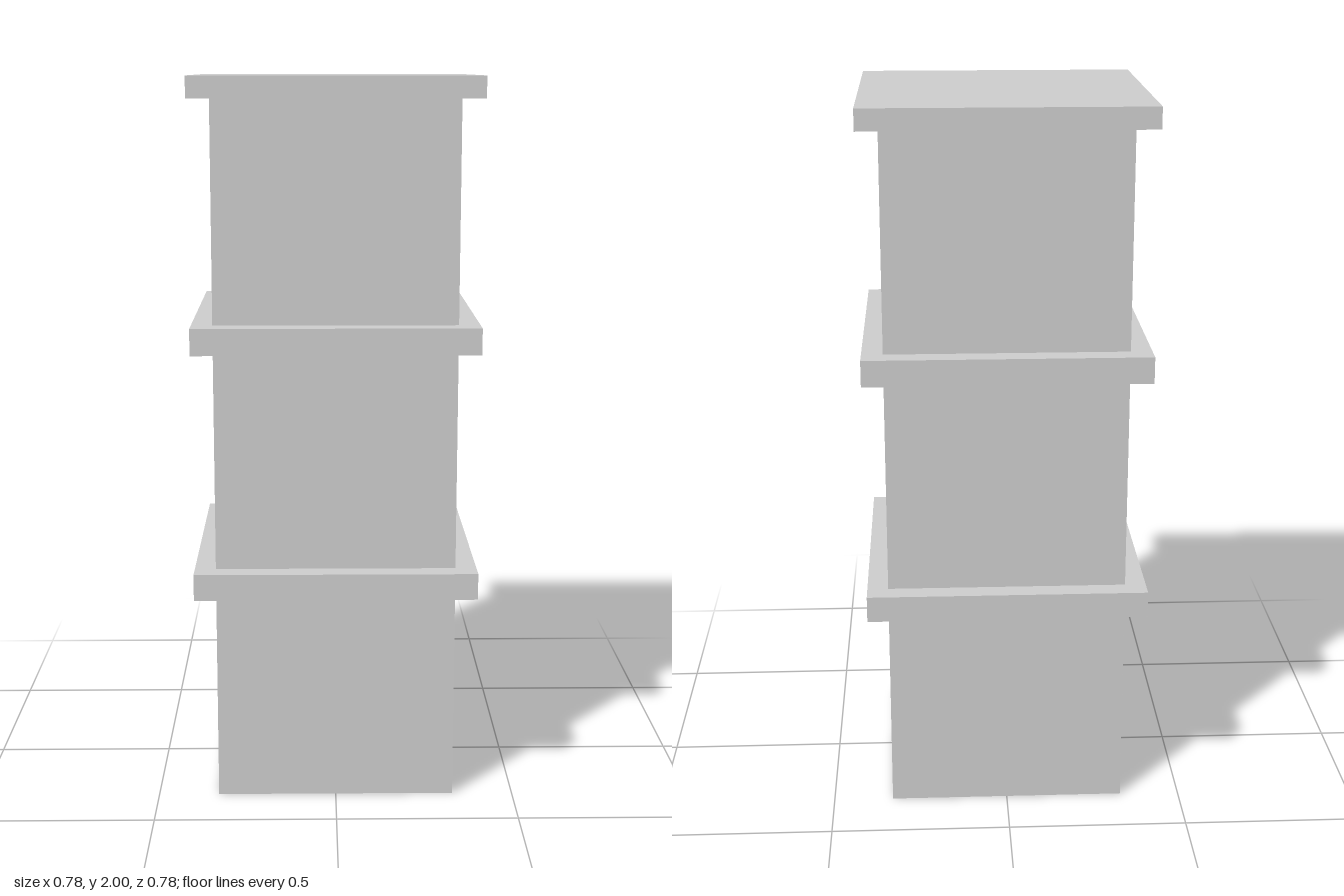
import * as THREE from 'three';

const WALL = 0.331; // half width of the shaft
const SLAB = 0.389; // half width of the projecting slabs

export function createModel() {
  const group = new THREE.Group();
  const material = new THREE.MeshStandardMaterial({
    color: 0xcccccc, flatShading: true, side: THREE.DoubleSide,
  });

  // Sweep a [halfWidth, y] profile, listed bottom to top, around a square plan
  function squareShell(name, profile) {
    const points = profile.map(([half, y]) => new THREE.Vector2(half * Math.SQRT2, y));
    const geometry = new THREE.LatheGeometry(points, 4, Math.PI / 4);
    const mesh = new THREE.Mesh(geometry, material);
    mesh.name = name;
    group.add(mesh);
  }

  // Hollow storeys, open at the bottom
  const storeys = [['lowerStorey', 0, 0.592], ['middleStorey', 0.665, 1.27], ['upperStorey', 1.343, 1.942]];
  for (const [name, y0, y1] of storeys) squareShell(name, [[WALL, y0], [WALL, y1]]);

  // Projecting ledges between storeys
  const ledges = [['lowerLedge', 0.592, 0.665], ['upperLedge', 1.27, 1.343]];
  for (const [name, y0, y1] of ledges) {
    squareShell(name, [[WALL, y0], [SLAB, y0], [SLAB, y1], [WALL, y1]]);
  }

  // Flat roof slab closing the top
  squareShell('roofSlab', [[WALL, 1.942], [SLAB, 1.942], [SLAB, 2], [0, 2]]);

  return group;
}
